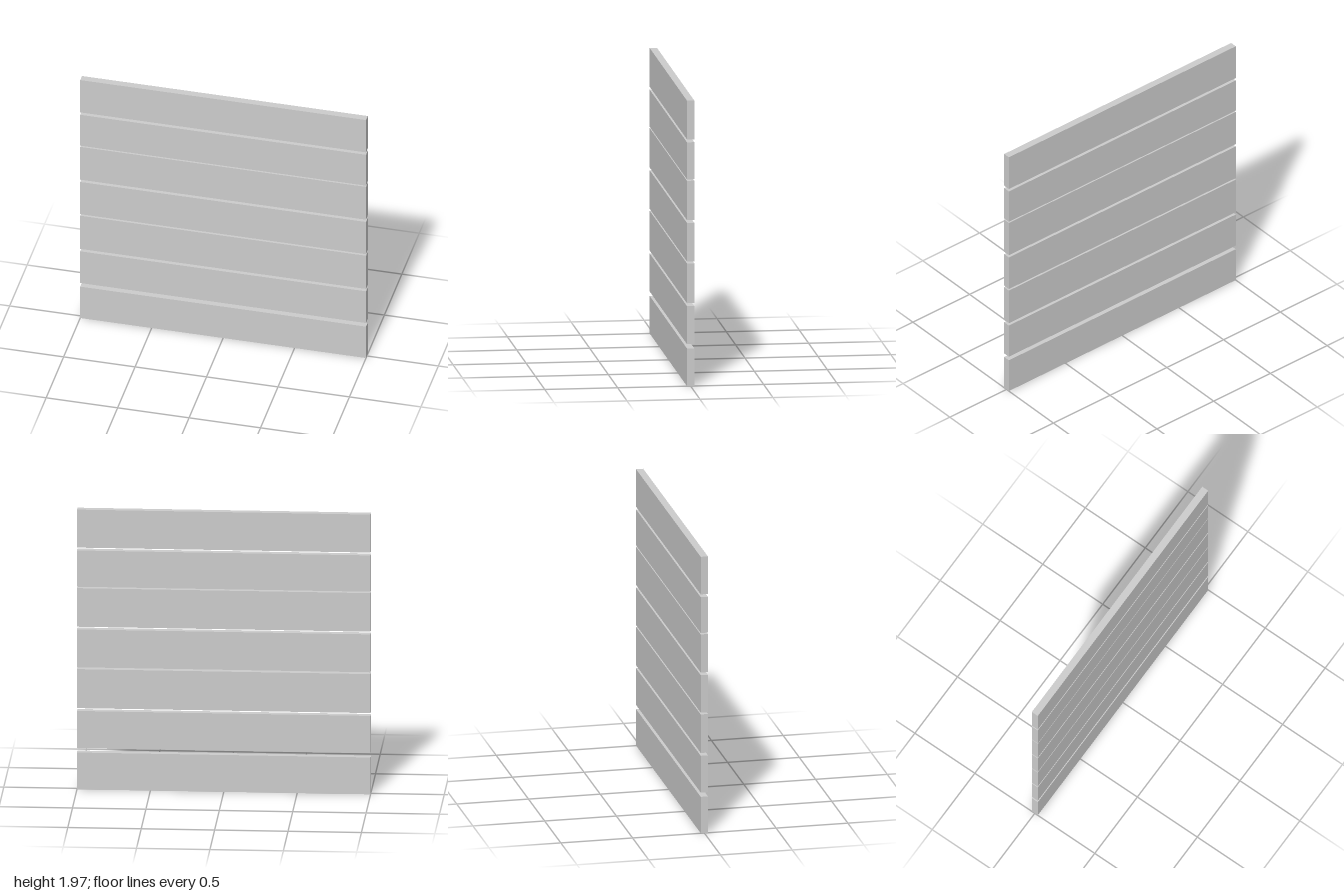
import * as THREE from 'three';

export function createModel() {
  const group = new THREE.Group();
  group.name = 'plankPanel';
  const material = new THREE.MeshStandardMaterial({ color: 0xcccccc });
  const length = 2, thickness = 0.05;

  // Bottom and top height of each horizontal plank, with uneven gaps
  const planks = [
    [0, 0.26], [0.29, 0.553], [0.573, 0.848], [0.861, 1.128],
    [1.147, 1.419], [1.429, 1.685], [1.705, 1.973],
  ];

  planks.forEach(([bottom, top], i) => {
    const plank = new THREE.Mesh(new THREE.BoxGeometry(length, top - bottom, thickness), material);
    plank.name = `plank${i + 1}`;
    plank.position.y = (bottom + top) / 2;
    group.add(plank);
  });

  return group;
}
